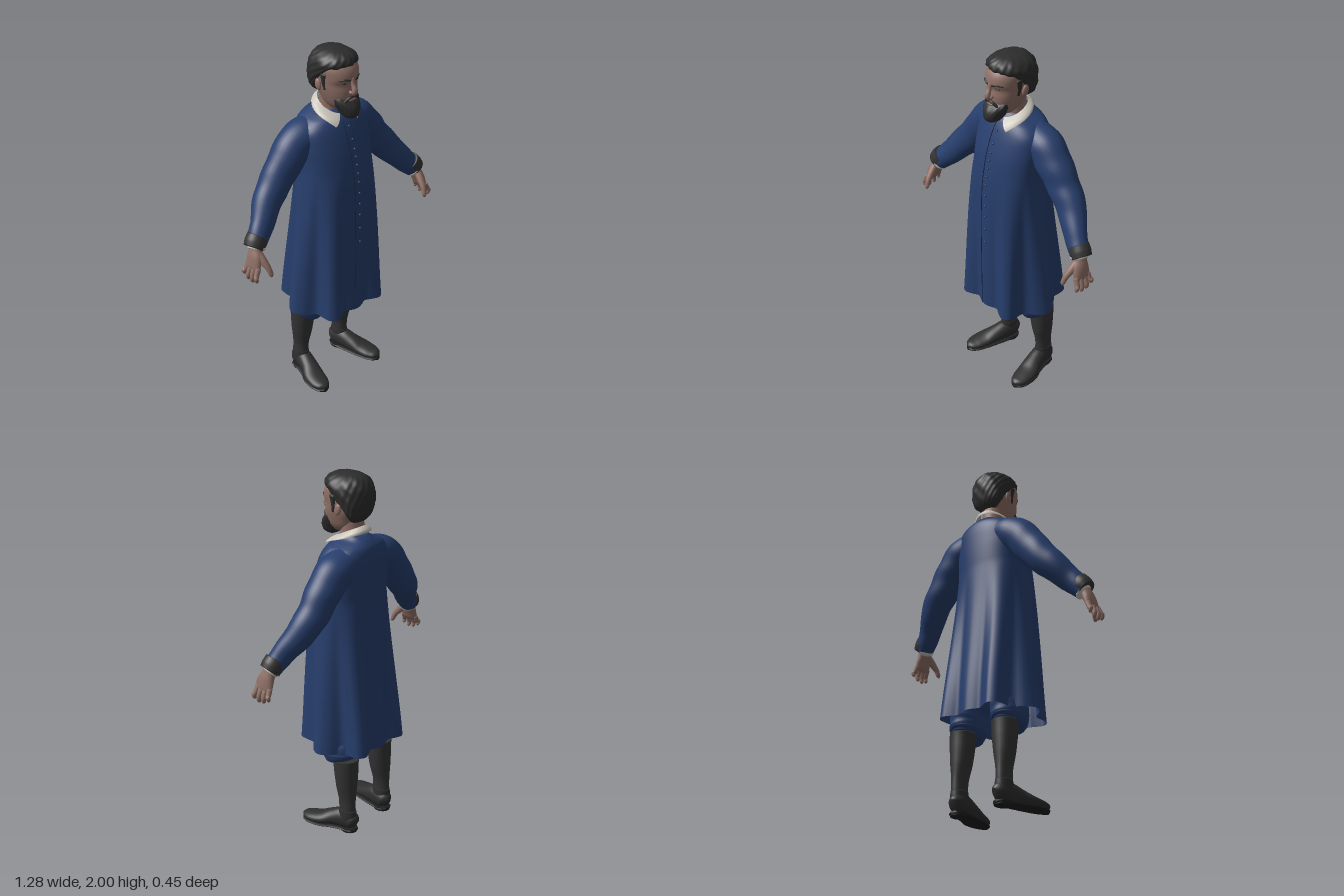
import * as THREE from 'three';

const V = (x, y, z) => new THREE.Vector3(x, y, z);
const paint = (name, color, side = THREE.FrontSide) => {
  const m = new THREE.MeshStandardMaterial({ color, side });
  m.name = name;
  return m;
};
const power = (v, e) => Math.sign(v) * Math.abs(v) ** e;

// Skin a list of rings; closed rings wrap round, capped ends are filled
function loft(rings, { closed = true, capStart = true, capEnd = true } = {}) {
  const n = rings[0].length, pos = [], idx = [];
  rings.forEach(r => r.forEach(p => pos.push(p.x, p.y, p.z)));
  for (let i = 0; i < rings.length - 1; i++)
    for (let j = 0; j < (closed ? n : n - 1); j++) {
      const k = (j + 1) % n, a = i * n + j, b = i * n + k;
      idx.push(a, b, b + n, a, b + n, a + n);
    }
  const cap = (row, flip) => {
    const c = V(0, 0, 0), at = pos.length / 3;
    rings[row].forEach(p => c.addScaledVector(p, 1 / n));
    pos.push(c.x, c.y, c.z);
    for (let j = 0; j < n; j++) {
      const a = row * n + j, b = row * n + (j + 1) % n;
      flip ? idx.push(at, b, a) : idx.push(at, a, b);
    }
  };
  if (closed && capStart) cap(0, true);
  if (closed && capEnd) cap(rings.length - 1, false);
  const g = new THREE.BufferGeometry();
  g.setAttribute('position', new THREE.Float32BufferAttribute(pos, 3));
  g.setIndex(idx);
  g.computeVertexNormals();
  return g;
}

// Tapering tube through points [x, y, z, width radius, radius along ref]
function limb(pts, { ref = V(0, 0, 1), sides = 20, steps = pts.length * 5, wrinkle = 0 } = {}) {
  const path = new THREE.CatmullRomCurve3(pts.map(p => V(p[0], p[1], p[2])));
  const radii = new THREE.CatmullRomCurve3(pts.map(p => V(p[3], p[4] ?? p[3], 0)));
  const rings = [];
  for (let i = 0; i <= steps; i++) {
    const u = i / steps, c = path.getPoint(u), t = path.getTangent(u), r = radii.getPoint(u);
    const n = ref.clone().addScaledVector(t, -t.dot(ref)).normalize(), b = t.clone().cross(n);
    rings.push(Array.from({ length: sides }, (_, j) => {
      const a = j / sides * Math.PI * 2;
      const k = 1 + wrinkle * Math.sin(u * 38 + 2 * Math.sin(a)) * Math.sin(u * Math.PI);
      return c.clone().addScaledVector(n, Math.cos(a) * r.y * k).addScaledVector(b, Math.sin(a) * r.x * k);
    }));
  }
  return loft(rings);
}

// Upright body from rows [y, half width, front z, back z]; returns a surface function
function surface(rows, { exp = 0.8, wave = () => 1 } = {}) {
  const a = new THREE.CatmullRomCurve3(rows.map(r => V(r[0], r[1], 0)));
  const b = new THREE.CatmullRomCurve3(rows.map(r => V(r[0], r[2], r[3])));
  return (u, angle) => {
    const p = a.getPoint(u), q = b.getPoint(u), k = wave(angle, p.x);
    const mid = (q.y + q.z) / 2, depth = (q.y - q.z) / 2;
    return V(p.y * Math.cos(angle) * k, p.x, mid - depth * power(Math.sin(angle), exp) * k);
  };
}
const body = (f, steps, sides, opts) => loft(Array.from({ length: steps + 1 }, (_, i) =>
  Array.from({ length: sides }, (_, j) => f(i / steps, j / sides * Math.PI * 2))), opts);

// Scalloped hem plan: one quarter from the side to the middle, mirrored twice
const quarter = [[0.29, 0], [0.262, 0.055], [0.205, 0.1], [0.2, 0.155], [0.192, 0.2], [0.155, 0.223],
  [0.112, 0.208], [0.075, 0.19], [0.038, 0.205], [0, 0.214]];
const half = [...quarter, ...quarter.slice(0, -1).reverse().map(([x, z]) => [-x, z])];
const hem = new THREE.CatmullRomCurve3([...half.map(([x, z]) => V(x, 0, -z)),
  ...half.slice(1, -1).reverse().map(([x, z]) => V(x, 0, z))], true);

export function createModel() {
  const model = new THREE.Group();
  model.name = 'beardedManInCoat';
  const blue = paint('coat blue', 0x273e6c, THREE.DoubleSide);
  const navy = paint('seam navy', 0x17243f);
  const skin = paint('skin', 0x8f7066);
  const lip = paint('lip', 0x75544d);
  const hair = paint('hair charcoal', 0x2d2d2d);
  const wool = paint('stocking grey', 0x343434);
  const leather = paint('shoe leather', 0x2e2e2e);
  const sole = paint('sole black', 0x1f1f1f);
  const linen = paint('collar linen', 0xc8c3b8, THREE.DoubleSide);
  const add = (name, geo, mat) => {
    const m = new THREE.Mesh(geo, mat);
    m.name = name;
    model.add(m);
    return m;
  };
  const ball = (name, mat, p, s) => {
    const m = add(name, new THREE.SphereGeometry(1, 20, 14), mat);
    m.position.set(...p);
    m.scale.set(...s);
    return m;
  };

  // Long coat: a plain torso that melts into the scalloped hem below the chest
  const torso = surface([
    [0.505, 0.2, 0.2, -0.18], [0.8, 0.208, 0.206, -0.15], [1.1, 0.206, 0.204, -0.145],
    [1.3, 0.204, 0.194, -0.15], [1.42, 0.205, 0.175, -0.153], [1.5, 0.208, 0.153, -0.152],
    [1.58, 0.2, 0.123, -0.147], [1.625, 0.16, 0.1, -0.137], [1.645, 0.12, 0.085, -0.125],
    [1.662, 0.08, 0.07, -0.11], [1.68, 0.06, 0.05, -0.085],
  ], { exp: 0.72 });
  const coat = (u, angle) => {
    const p = torso(u, angle), h = hem.getPoint(angle / (Math.PI * 2) % 1);
    return p.lerp(h.setY(p.y), Math.max(0, (1.36 - p.y) / 0.855));
  };
  add('coat', body(coat, 60, 144, { capStart: false }), blue);

  // Front opening and buttons follow the coat surface
  const front = Math.PI * 1.5;
  const onFront = (u, off, r) => [...coat(u, front + off).toArray(), r, 0.003];
  add('coatOpening', limb(Array.from({ length: 19 }, (_, i) => onFront(i * 0.0475, -0.1, 0.0022)), { sides: 8 }), navy);
  for (let i = 0; i < 12; i++) {
    const p = coat(0.7 * (1 - (0.02 + i * 0.058) ** 0.55), front + 0.05);
    ball('button', blue, [p.x, p.y, p.z + 0.002], [0.006, 0.006, 0.007]);
  }

  // Linen collar, low at the front with two spread points
  const deg = Math.PI / 180;
  const collarRow = v => Array.from({ length: 49 }, (_, j) => {
    const u = j / 24 - 1, a = u * deg * (165 - 27 * v), c = Math.cos(a), flare = Math.sin(v * Math.PI / 2);
    return V(Math.sin(a) * (0.068 + 0.044 * flare), 1.694 + 0.038 * c - v * (0.035 + 0.022 * u ** 8),
      0.004 + 0.022 * v - c * (0.08 + 0.044 * flare));
  });
  add('collar', loft([0, 0.25, 0.5, 0.75, 1].map(collarRow), { closed: false }), linen);
  add('neck', limb([[0, 1.6, -0.005, 0.068], [0, 1.69, -0.003, 0.062], [0, 1.78, 0, 0.06]]), skin);

  // Head
  add('head', body(surface([
    [1.69, 0.045, 0.11, 0], [1.72, 0.066, 0.135, -0.035], [1.76, 0.081, 0.148, -0.055], [1.8, 0.092, 0.15, -0.08],
    [1.835, 0.097, 0.146, -0.09], [1.868, 0.099, 0.158, -0.1], [1.91, 0.1, 0.15, -0.1],
    [1.95, 0.085, 0.12, -0.08], [1.98, 0.045, 0.07, -0.03],
  ]), 36, 40), skin);
  const shaggy = (a, y) => 1 + 0.02 * Math.sin(9 * a + y * 60) + 0.015 * Math.sin(17 * a - y * 110);
  add('hair', body(surface([
    [1.752, 0.05, -0.02, -0.068], [1.785, 0.084, -0.01, -0.09], [1.83, 0.102, 0.025, -0.104],
    [1.87, 0.11, 0.07, -0.111], [1.91, 0.113, 0.115, -0.111], [1.937, 0.11, 0.143, -0.104],
    [1.965, 0.092, 0.136, -0.086], [1.986, 0.06, 0.105, -0.055], [1.997, 0.02, 0.05, 0],
  ], { wave: shaggy }), 40, 72), hair);
  add('beard', body(surface([
    [1.651, 0.018, 0.158, 0.115], [1.667, 0.038, 0.181, 0.085], [1.695, 0.052, 0.186, 0.06],
    [1.72, 0.063, 0.178, 0.055], [1.742, 0.07, 0.162, 0.055], [1.762, 0.07, 0.14, 0.055], [1.78, 0.06, 0.11, 0.06],
  ], { wave: shaggy }), 28, 48), hair);
  add('nose', limb([[0, 1.872, 0.15, 0.01], [0, 1.84, 0.158, 0.011], [0, 1.806, 0.171, 0.016, 0.015],
    [0, 1.793, 0.165, 0.017, 0.013], [0, 1.784, 0.15, 0.01]]), skin);
  ball('lips', lip, [0, 1.754, 0.154], [0.026, 0.007, 0.01]);
  for (const s of [1, -1]) {
    const side = pts => pts.map(([x, ...rest]) => [s * x, ...rest]);
    add('moustache', limb(side([[0, 1.773, 0.159, 0.007], [0.022, 1.768, 0.155, 0.008],
      [0.046, 1.742, 0.139, 0.007]]), { sides: 12 }), hair);
    add('sideburn', limb(side([[0.1, 1.89, 0.048, 0.008, 0.018], [0.095, 1.84, 0.045, 0.006, 0.013],
      [0.09, 1.8, 0.05, 0.004, 0.008]])), hair);
    add('eyebrow', limb(side([[0.015, 1.862, 0.157, 0.004], [0.042, 1.87, 0.149, 0.005],
      [0.07, 1.864, 0.124, 0.003]]), { sides: 10 }), hair);
    ball('eye', sole, [s * 0.039, 1.848, 0.137], [0.015, 0.005, 0.008]);
    ball('nostrilWing', skin, [s * 0.014, 1.797, 0.157], [0.009, 0.01, 0.013]);
    ball('ear', skin, [s * 0.1, 1.82, 0.012], [0.011, 0.031, 0.02]).rotation.x = -0.2;

    // Arms: sleeve, dark patch cuff on the outer side, shirt edge on the inner side
    add('sleeve', limb(side([[0.04, 1.565, -0.035, 0.078, 0.08], [0.12, 1.55, -0.038, 0.088, 0.093],
      [0.2, 1.515, -0.04, 0.1, 0.097], [0.275, 1.44, -0.038, 0.097, 0.09], [0.345, 1.352, -0.036, 0.09, 0.082],
      [0.42, 1.27, -0.02, 0.081, 0.075], [0.5, 1.175, 0.025, 0.067, 0.057], [0.55, 1.12, 0.046, 0.058, 0.052],
      [0.575, 1.092, 0.054, 0.052, 0.05]]), { sides: 32, steps: 72, wrinkle: 0.022 }), blue);
    add('cuff', limb(side([[0.546, 1.143, 0.045, 0.056, 0.053], [0.567, 1.118, 0.05, 0.057, 0.055],
      [0.588, 1.094, 0.056, 0.05, 0.051]]), { sides: 28 }), wool);
    add('shirtCuff', limb(side([[0.555, 1.105, 0.05, 0.042], [0.573, 1.083, 0.057, 0.042],
      [0.578, 1.077, 0.059, 0.038]])), linen);

    // Hands
    add('palm', limb(side([[0.56, 1.12, 0.055, 0.034, 0.034], [0.577, 1.08, 0.062, 0.031, 0.038],
      [0.592, 1.045, 0.07, 0.028, 0.047], [0.606, 1.0, 0.073, 0.021, 0.05], [0.613, 0.98, 0.074, 0.012, 0.042]])), skin);
    for (let i = 0; i < 4; i++) {
      const z = 0.036 + i * 0.026, tip = 0.926 + [0.022, 0.004, 0, 0.012][i], spread = (i - 1.4) * 0.006;
      add('finger', limb(side([[0.606, 1.005, z, 0.0145], [0.624, 0.968, z + spread * 0.5, 0.0135],
        [0.63, tip + 0.018, z + spread, 0.0125], [0.625, tip, z + spread, 0.0095], [0.622, tip - 0.007, z + spread, 0.003]]),
      { sides: 10 }), skin);
    }
    add('thumb', limb(side([[0.58, 1.075, 0.08, 0.022], [0.573, 1.035, 0.117, 0.02], [0.565, 1.0, 0.145, 0.015],
      [0.56, 0.968, 0.158, 0.012], [0.559, 0.956, 0.162, 0.004]]), { sides: 12 }), skin);

    // Legs: gathered breeches, stocking and turned-out shoe
    add('breeches', limb(side([[0.09, 0.85, -0.02, 0.1, 0.11], [0.125, 0.6, -0.03, 0.09, 0.11],
      [0.14, 0.52, -0.035, 0.09, 0.11], [0.142, 0.475, -0.037, 0.09, 0.108], [0.143, 0.45, -0.041, 0.08, 0.098],
      [0.143, 0.434, -0.046, 0.068, 0.086]]), { sides: 32, wrinkle: 0.01 }), blue);
    add('stocking', limb(side([[0.143, 0.445, -0.075, 0.069, 0.072], [0.144, 0.42, -0.076, 0.068, 0.07],
      [0.145, 0.36, -0.079, 0.065, 0.066], [0.147, 0.28, -0.083, 0.056, 0.06], [0.15, 0.18, -0.09, 0.038, 0.05],
      [0.15, 0.08, -0.09, 0.036, 0.05]]), { sides: 24 }), wool);
    const shoe = side([[0.14, 0.05, -0.146, 0.018, 0.03], [0.144, 0.062, -0.122, 0.043, 0.05],
      [0.15, 0.07, -0.07, 0.046, 0.058], [0.167, 0.058, 0, 0.05, 0.046], [0.188, 0.043, 0.06, 0.058, 0.033],
      [0.2, 0.036, 0.12, 0.053, 0.026], [0.205, 0.033, 0.16, 0.036, 0.02], [0.208, 0.03, 0.177, 0.012, 0.009]]);
    const up = V(0, 1, 0);
    add('shoe', limb(shoe, { ref: up, sides: 28 }), leather);
    add('shoeTop', limb(side([[0.15, 0.06, -0.085, 0.044, 0.06], [0.15, 0.1, -0.09, 0.042, 0.056],
      [0.15, 0.135, -0.092, 0.038, 0.052]])), leather);
    add('shoeSole', limb(shoe.map(([x, , z, w]) => [x, 0.013, z, w, 0.009]), { ref: up, sides: 20 }), sole);
    const heel = add('shoeHeel', new THREE.CylinderGeometry(0.042, 0.041, 0.022, 24), sole);
    heel.position.set(s * 0.146, 0.011, -0.098);
    heel.scale.z = 1.15;
  }
  return model;
}
